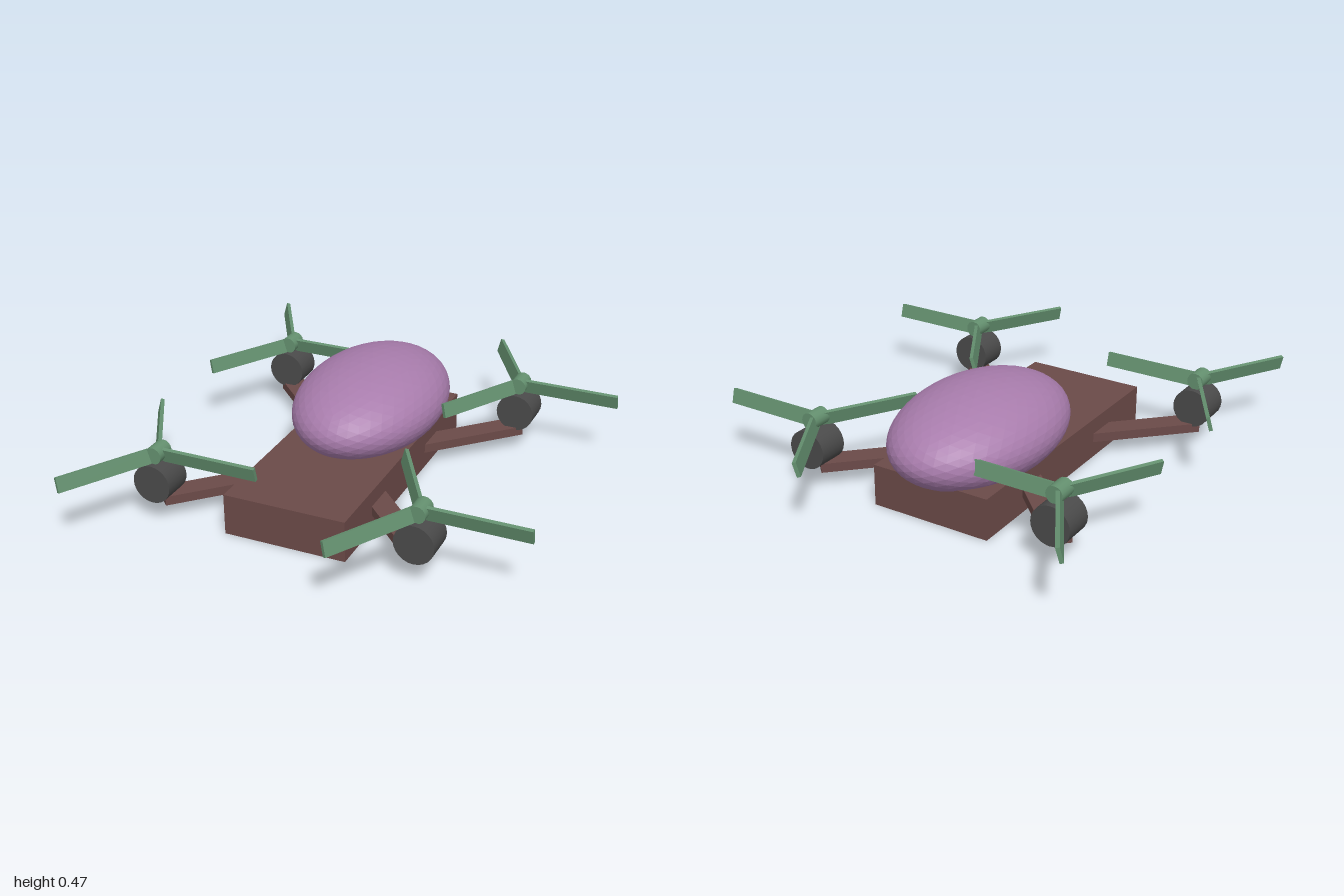
import * as THREE from 'three';

const mat = (color, flatShading = false) => new THREE.MeshStandardMaterial({ color, flatShading });

export function createModel() {
  const group = new THREE.Group();
  const brown = mat(0x6b4a48);
  const purple = mat(0xa87cac, true);
  const green = mat(0x64906f);
  const dark = mat(0x4a4a4a);
  const midX = -0.107;

  const add = (parent, name, geometry, material, x, y, z) => {
    const mesh = new THREE.Mesh(geometry, material);
    mesh.name = name;
    mesh.position.set(x, y, z);
    parent.add(mesh);
    return mesh;
  };

  // Body slab and domed canopy toward the rear
  add(group, 'body', new THREE.BoxGeometry(0.535, 0.18, 1.25), brown, midX, 0.09, 0);
  const canopyGeo = new THREE.IcosahedronGeometry(1, 7).scale(0.32, 0.193, 0.48);
  add(group, 'canopy', canopyGeo, purple, midX, 0.272, -0.255);

  // Shared rotor parts; arm starts at the motor and runs along +x
  const armLength = 0.55;
  const armGeo = new THREE.BoxGeometry(armLength, 0.04, 0.1).translate(armLength / 2, 0, 0);
  const motorGeo = new THREE.CylinderGeometry(0.084, 0.084, 0.135, 24).rotateX(Math.PI / 2);
  const hubGeo = new THREE.CylinderGeometry(0.037, 0.037, 0.085, 16).rotateX(Math.PI / 2);
  // Blade stands on edge, pitched about its length
  const bladeGeo = new THREE.BoxGeometry(0.445, 0.063, 0.016)
    .rotateX(THREE.MathUtils.degToRad(15))
    .translate(0.2225, 0, 0);

  for (const sx of [-1, 1]) {
    for (const sz of [-1, 1]) {
      const rotor = new THREE.Group();
      rotor.name = `${sz > 0 ? 'front' : 'rear'}${sx > 0 ? 'Left' : 'Right'}Rotor`;
      rotor.position.set(midX + sx * 0.573, 0, sz * 0.605);
      group.add(rotor);

      // Arm slants inward to the body at 45 degrees
      const arm = add(rotor, 'arm', armGeo, brown, 0, 0.09, -sz * 0.008);
      arm.rotation.y = Math.atan2(sz, -sx);

      add(rotor, 'motor', motorGeo, dark, 0, 0.182, 0);
      add(rotor, 'hub', hubGeo, green, 0, 0.3, 0);
      for (let i = 0; i < 3; i++) {
        const blade = add(rotor, 'blade', bladeGeo, green, 0, 0.293, 0);
        blade.rotation.y = (i * Math.PI * 2) / 3;
      }
    }
  }
  return group;
}
